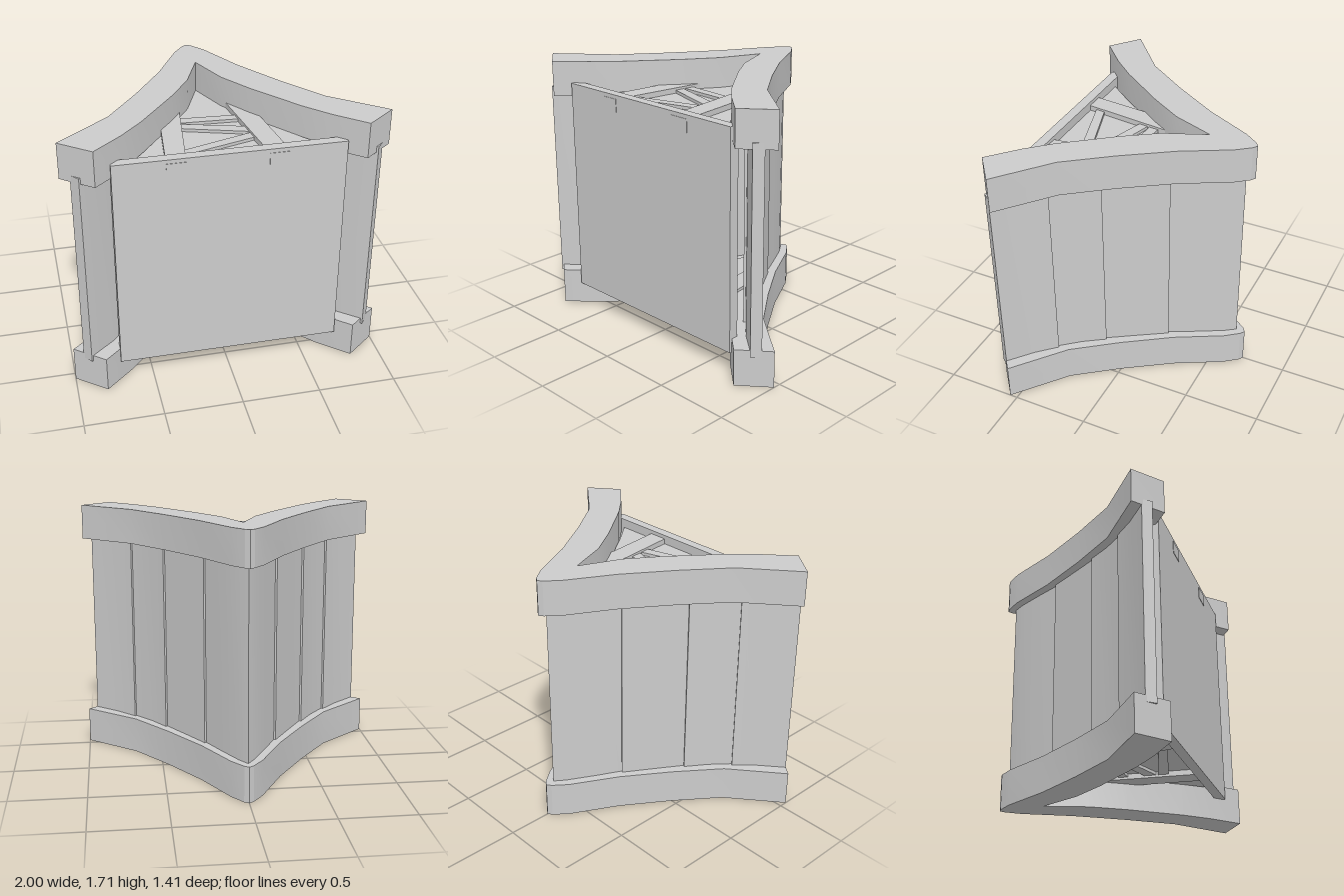
import * as THREE from 'three';
import { toCreasedNormals } from 'three/addons/utils/BufferGeometryUtils.js';

const material = new THREE.MeshStandardMaterial({ color: 0xcccccc });

// Upright prism from a plan outline of [x, z] points, between two heights
function prism(name, points, y0, y1) {
  const shape = new THREE.Shape(points.map(([x, z]) => new THREE.Vector2(x, -z)));
  let geo = new THREE.ExtrudeGeometry(shape, { depth: y1 - y0, bevelEnabled: false });
  geo.rotateX(-Math.PI / 2).translate(0, y0, 0);
  geo = toCreasedNormals(geo, 0.3);
  const mesh = new THREE.Mesh(geo, material);
  mesh.name = name;
  return mesh;
}

const mirrorX = (pts) => pts.map(([x, z]) => [-x, z]);

// Plan outline of the V-shaped rails, right half of the plan
const outer = [[0.03, -0.69], [0.1, -0.6], [0.26, -0.3], [0.46, 0], [0.67, 0.28], [1, 0.55]];
const inner = [[0.81, 0.7], [0.63, 0.54], [0.49, 0.39], [0.25, 0.08], [0.11, -0.13]];
const railOutline = [
  [0, -0.71], ...outer, ...inner, [0, -0.4],
  ...mirrorX(inner).reverse(), ...mirrorX(outer).reverse(),
];

// Wall planks: outer faces in plan, each starting a little proud of the last
const planks = [
  [[0, -0.65], [0.05, -0.58], [0.14, -0.41], [0.225, -0.24]],
  [[0.235, -0.25], [0.34, -0.08], [0.46, 0.11]],
  [[0.47, 0.1], [0.56, 0.235], [0.665, 0.36]],
  [[0.675, 0.35], [0.79, 0.47], [0.94, 0.595]],
];

// Give a plank outline thickness towards the inside of the V
function plankOutline(face, thickness) {
  const back = face.map(([x, z], i) => {
    const a = face[Math.max(i - 1, 0)], b = face[Math.min(i + 1, face.length - 1)];
    const dx = b[0] - a[0], dz = b[1] - a[1], len = Math.hypot(dx, dz);
    return [Math.max(x - (dz / len) * thickness, 0), z + (dx / len) * thickness];
  });
  return [...face, ...back.reverse()];
}

// Truss members in plan: four corners each
const trussParts = {
  leftBeam: [[-0.39, 0.632], [-0.27, 0.632], [-0.18, -0.05], [-0.32, 0]],
  rightBeam: [[0.23, 0.632], [0.36, 0.632], [0.28, 0], [0.13, -0.12]],
  crossBar: [[-0.21, 0.1], [0.18, 0.12], [0.18, 0.06], [-0.21, 0.035]],
  rearDiagonal: [[-0.23, 0.17], [0.21, 0.31], [0.21, 0.235], [-0.23, 0.105]],
  frontDiagonal: [[-0.27, 0.52], [0.21, 0.38], [0.21, 0.31], [-0.27, 0.46]],
};

export function createModel() {
  const model = new THREE.Group();
  model.name = 'panelledStand';

  // Rails
  model.add(prism('bottomRail', railOutline, 0, 0.24));
  model.add(prism('topRail', railOutline, 1.48, 1.71));

  // Curved side walls of overlapping planks
  for (const side of [1, -1]) {
    const wall = new THREE.Group();
    wall.name = side > 0 ? 'leftWall' : 'rightWall';
    for (const face of planks) {
      const outline = plankOutline(face, 0.07);
      wall.add(prism('wallPlank', side > 0 ? outline : mirrorX(outline), 0.2, 1.52));
    }
    model.add(wall);
  }

  // Front panel
  const panel = new THREE.Mesh(new THREE.BoxGeometry(1.42, 1.42, 0.065), material);
  panel.name = 'frontPanel';
  panel.position.set(0, 0.86, 0.5965);
  model.add(panel);

  // Top and bottom decks, each carrying a truss
  const deckHalf = [[0.63, 0.57], [0.49, 0.4], [0.25, 0.08], [0.12, -0.13]];
  const deckOutline = [...deckHalf, [0, -0.42], ...mirrorX(deckHalf).reverse()];
  const levels = [
    { name: 'top', deck: [1.47, 1.51], beam: [1.46, 1.545], brace: [1.46, 1.53] },
    { name: 'bottom', deck: [0.21, 0.25], beam: [0.175, 0.26], brace: [0.19, 0.26] },
  ];
  for (const level of levels) {
    model.add(prism(level.name + 'Deck', deckOutline, ...level.deck));
    const truss = new THREE.Group();
    truss.name = level.name + 'Truss';
    for (const [name, pts] of Object.entries(trussParts)) {
      const isBeam = name.endsWith('Beam');
      // Only the upper beams show through the panel
      const plan = level.name === 'top' ? pts : pts.map(([x, z]) => [x, Math.min(z, 0.6)]);
      truss.add(prism(name, plan, ...(isBeam ? level.beam : level.brace)));
    }
    model.add(truss);
  }
  return model;
}
